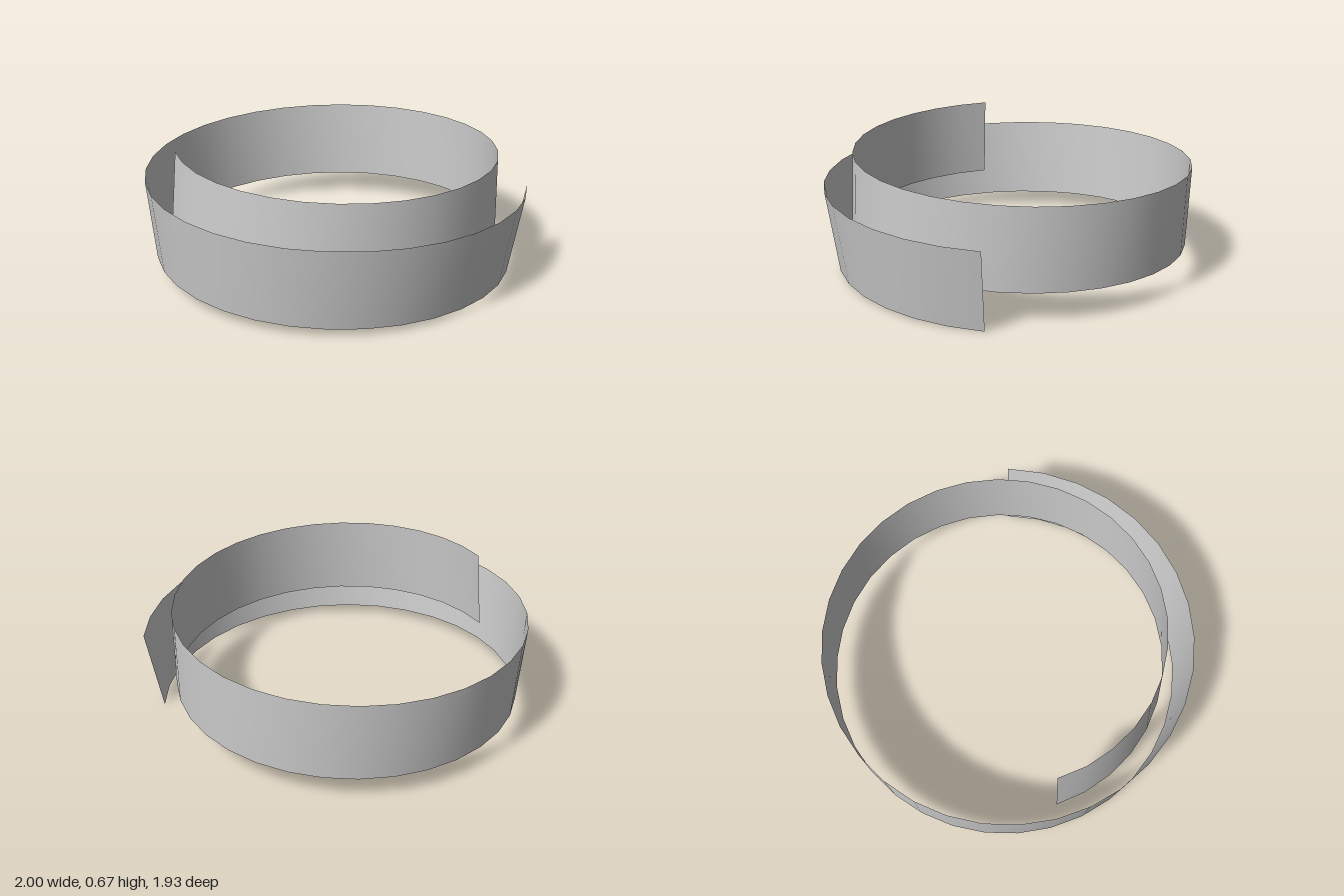
import * as THREE from 'three';

const SEGMENTS = 48;
const START = THREE.MathUtils.degToRad(7.2);
const END = THREE.MathUtils.degToRad(526);
const CENTRE = -0.038; // x and z of the spiral axis
const HEIGHT = 0.428;  // height of the strip
const RISE = 0.245;    // climb from the outer end to the inner end

// Thin strip that winds inward and upward; its flare fades and reverses
function spiralRibbon() {
  const positions = [];
  const indices = [];
  for (let i = 0; i <= SEGMENTS; i++) {
    const t = i / SEGMENTS;
    const angle = THREE.MathUtils.lerp(START, END, t);
    const turns = angle / (2 * Math.PI);
    const radius = 1.003 - 0.117 * turns;
    const flare = 0.04 * (1 - turns);
    // lower edge, then upper edge
    for (const side of [-1, 1]) {
      const r = radius + side * flare;
      positions.push(
        CENTRE + r * Math.cos(angle),
        RISE * t + (side > 0 ? HEIGHT : 0),
        CENTRE + r * Math.sin(angle)
      );
    }
    if (i < SEGMENTS) {
      const a = 2 * i;
      indices.push(a, a + 1, a + 2, a + 1, a + 3, a + 2);
    }
  }
  const geometry = new THREE.BufferGeometry();
  geometry.setAttribute('position', new THREE.Float32BufferAttribute(positions, 3));
  geometry.setIndex(indices);
  geometry.computeVertexNormals();
  return geometry;
}

export function createModel() {
  const group = new THREE.Group();
  group.name = 'spiralBand';
  const material = new THREE.MeshStandardMaterial({ color: 0xcccccc, side: THREE.DoubleSide });
  const ribbon = new THREE.Mesh(spiralRibbon(), material);
  ribbon.name = 'ribbon';
  group.add(ribbon);
  return group;
}
